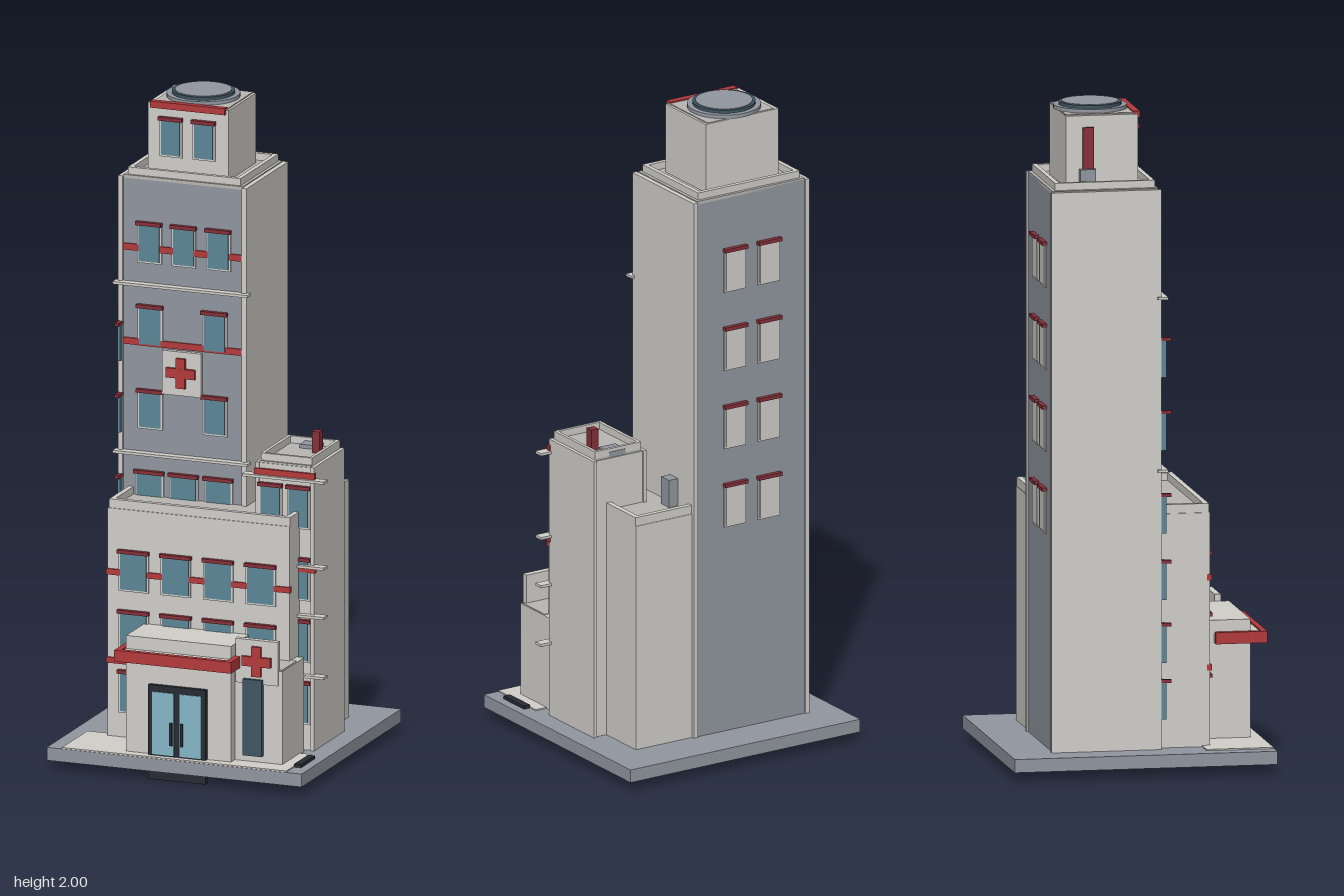
import * as THREE from 'three';

const mat = (color) => new THREE.MeshStandardMaterial({ color });
const M = {
  wall: mat(0xd2d0cb), roof: mat(0xbab8b3), grey: mat(0x9297a1), red: mat(0xb53a3c),
  darkRed: mat(0x86303a), glass: mat(0x5c8798), doorGlass: mat(0x86b8c8), slate: mat(0x3f5663), black: mat(0x272c33),
};

export function createModel() {
  const root = new THREE.Group();
  let part = root;
  const group = (name) => {
    part = new THREE.Group();
    part.name = name;
    root.add(part);
  };
  // Box given by its limits on each axis
  const box = (name, m, x0, x1, y0, y1, z0, z1) => {
    const mesh = new THREE.Mesh(new THREE.BoxGeometry(x1 - x0, y1 - y0, z1 - z0), m);
    mesh.position.set((x0 + x1) / 2, (y0 + y1) / 2, (z0 + z1) / 2);
    mesh.name = name;
    part.add(mesh);
    return mesh;
  };
  // Open rectangular rim around a roof
  const parapet = (x0, x1, y0, y1, z0, z1, t = 0.014) => {
    box('parapet', M.wall, x0, x1, y0, y1, z1 - t, z1);
    box('parapet', M.wall, x0, x1, y0, y1, z0, z0 + t);
    box('parapet', M.wall, x0, x0 + t, y0, y1, z0 + t, z1 - t);
    box('parapet', M.wall, x1 - t, x1, y0, y1, z0 + t, z1 - t);
  };
  // Framed pane with a lintel, on a wall at depth z; s is the outward direction
  const windowAt = (x, y0, y1, z, w, s = 1, pane = M.glass) => {
    const slab = (name, m, hw, a, b, d) =>
      box(name, m, x - hw, x + hw, a, b, Math.min(z - s * 0.005, z + s * d), Math.max(z - s * 0.005, z + s * d));
    slab('windowFrame', M.wall, w / 2 + 0.006, y0 - 0.006, y1, 0.004);
    slab('windowPane', pane, w / 2, y0, y1 - 0.004, 0.007);
    slab('windowLintel', M.darkRed, w / 2 + 0.008, y1 - 0.004, y1 + 0.007, 0.014);
  };
  const cross = (x, y, z, r) => {
    const t = r * 0.32;
    box('crossBar', M.red, x - r, x + r, y - t, y + t, z, z + 0.012);
    box('crossPost', M.red, x - t, x + t, y - r, y + r, z, z + 0.0115);
  };

  group('ground');
  box('basePlate', M.grey, -0.408, 0.408, 0.03, 0.07, -0.405, 0.39);
  box('pavement', M.wall, -0.36, 0.358, 0.065, 0.074, 0.185, 0.388);
  box('drainGrate', M.black, 0.358, 0.38, 0.066, 0.08, 0.215, 0.325);

  // Tall tower: grey front and back between pale side slabs
  group('tower');
  box('towerCore', M.grey, -0.3, 0.084, 0.07, 1.755, -0.27, 0.05);
  box('towerSideSlab', M.wall, -0.313, -0.299, 0.07, 1.757, -0.275, 0.058);
  box('towerSideSlab', M.wall, 0.083, 0.098, 0.07, 1.757, -0.275, 0.058);
  box('towerRoof', M.roof, -0.299, 0.083, 1.75, 1.76, -0.27, 0.05);
  parapet(-0.288, 0.073, 1.755, 1.782, -0.26, 0.042);
  for (const y of [0.91, 1.43]) box('towerLedge', M.wall, -0.324, 0.108, y - 0.004, y + 0.004, 0.045, 0.076);
  for (const x of [-0.215, -0.105, 0.006]) {
    windowAt(x, 1.5, 1.615, 0.05, 0.066);
    windowAt(x, 0.735, 0.85, 0.05, 0.08);
  }
  for (const x of [-0.212, -0.006]) {
    windowAt(x, 1.245, 1.36, 0.05, 0.068);
    windowAt(x, 0.99, 1.1, 0.05, 0.068);
  }
  for (const y of [1.54, 1.25]) box('towerBand', M.red, -0.298, 0.083, y - 0.01, y + 0.01, 0.045, 0.055);
  for (let i = 0; i < 4; i++)
    for (const x of [-0.17, -0.05]) windowAt(x, 0.72 + i * 0.247, 0.845 + i * 0.247, -0.27, 0.066, -1, M.wall);
  // Slim window fins at the front corner
  for (const y of [0.27, 0.44, 0.63, 0.83, 1.08, 1.3]) {
    box('cornerWindow', M.glass, -0.309, -0.301, y - 0.11, y, 0.02, 0.073);
    box('cornerLintel', M.darkRed, -0.312, -0.299, y, y + 0.01, 0.02, 0.088);
  }
  box('towerSign', M.wall, -0.17, -0.045, 1.1, 1.235, 0.045, 0.064);
  cross(-0.108, 1.17, 0.062, 0.046);

  // Rooftop room with round landing deck
  group('penthouse');
  box('penthouseWalls', M.wall, -0.241, 0.018, 1.755, 1.975, -0.218, 0);
  box('penthouseRoof', M.roof, -0.226, 0.01, 1.97, 1.978, -0.216, -0.002);
  box('penthouseBand', M.red, -0.23, 0.009, 1.962, 1.982, -0.012, 0.009);
  for (const x of [-0.166, -0.061]) windowAt(x, 1.82, 1.93, 0, 0.06);
  box('sideDoor', M.darkRed, -0.25, -0.238, 1.8, 1.94, -0.168, -0.134);
  box('sideUnit', M.grey, -0.26, -0.238, 1.76, 1.815, -0.178, -0.13);
  const disc = (name, m, r, y0, y1) => {
    const mesh = new THREE.Mesh(new THREE.CylinderGeometry(r, r, y1 - y0, 32), m);
    mesh.position.set(-0.111, (y0 + y1) / 2, -0.12);
    mesh.name = name;
    part.add(mesh);
  };
  disc('deckBase', M.grey, 0.11, 1.977, 1.989);
  disc('deckRing', M.slate, 0.094, 1.985, 1.998);
  disc('deckTop', M.grey, 0.085, 1.985, 2.0);

  // Wide lower block wrapping the tower's front and one side
  group('lowerBlock');
  box('frontWing', M.wall, -0.286, 0.297, 0.07, 0.775, 0.03, 0.21);
  box('rearWing', M.wall, 0.0, 0.297, 0.07, 0.775, -0.265, 0.03);
  box('frontRoof', M.roof, -0.28, 0.29, 0.77, 0.779, 0.03, 0.206);
  box('rearRoof', M.roof, 0.09, 0.29, 0.77, 0.779, -0.26, 0.03);
  const rim = (x0, x1, z0, z1) => box('parapet', M.wall, x0, x1, 0.772, 0.802, z0, z1);
  rim(-0.282, 0.297, 0.191, 0.207);
  rim(-0.282, -0.266, 0.05, 0.191);
  rim(0.281, 0.297, -0.263, 0.191);
  rim(0.09, 0.281, -0.263, -0.247);
  box('roofVent', M.grey, 0.095, 0.13, 0.775, 0.865, -0.19, -0.147);
  for (const x of [-0.201, -0.066, 0.07, 0.206]) {
    windowAt(x, 0.53, 0.645, 0.21, 0.084);
    windowAt(x, 0.345, 0.46, 0.21, 0.084);
  }
  windowAt(-0.201, 0.155, 0.275, 0.21, 0.084);
  for (const y of [0.58, 0.308]) box('lowerBand', M.red, -0.288, 0.3, y - 0.009, y + 0.009, 0.2, 0.215);

  // Narrow side tower
  group('sideTower');
  box('sideTowerCore', M.wall, 0.16, 0.34, 0.07, 0.94, -0.105, 0.13);
  for (const x of [0.157, 0.333]) box('sideTowerSlab', M.wall, x, x + 0.012, 0.07, 0.942, -0.11, 0.134);
  box('sideTowerRoof', M.roof, 0.17, 0.333, 0.936, 0.946, -0.1, 0.128);
  parapet(0.17, 0.334, 0.94, 0.968, -0.1, 0.122, 0.01);
  box('sideTowerBand', M.red, 0.155, 0.348, 0.905, 0.924, 0.125, 0.139);
  box('sideTowerBand', M.red, 0.155, 0.35, 0.618, 0.634, 0.125, 0.139);
  for (const y of [0.902, 0.637, 0.485, 0.3]) box('sideTowerLedge', M.wall, 0.12, 0.382, y - 0.004, y + 0.004, 0.12, 0.15);
  for (const x of [0.205, 0.295])
    for (const y of [0.155, 0.345, 0.535, 0.755]) windowAt(x, y, y + 0.12, 0.13, 0.062);
  box('roofUnit', M.grey, 0.227, 0.285, 0.94, 0.958, -0.102, -0.046);
  box('chimney', M.darkRed, 0.28, 0.305, 0.94, 1.012, -0.036, -0.01);

  // Entrance hall, canopy and double door
  group('entrance');
  box('entranceHall', M.wall, -0.168, 0.168, 0.07, 0.43, 0.2, 0.355);
  box('canopySlab', M.wall, -0.17, 0.17, 0.362, 0.39, 0.245, 0.39);
  box('canopyFront', M.red, -0.187, 0.187, 0.36, 0.395, 0.386, 0.403);
  for (const x of [-0.187, 0.169]) box('canopySide', M.red, x, x + 0.018, 0.36, 0.395, 0.247, 0.386);
  box('doorFrame', M.black, -0.092, 0.092, 0.0, 0.29, 0.35, 0.368);
  for (const s of [-1, 1]) {
    box('doorPane', M.doorGlass, s * 0.044 - 0.034, s * 0.044 + 0.034, 0.078, 0.27, 0.36, 0.371);
    box('doorHandle', M.black, s * 0.017 - 0.004, s * 0.017 + 0.004, 0.11, 0.18, 0.365, 0.378);
  }

  // Annex with the cross sign
  group('annex');
  box('annexWalls', M.wall, 0.1, 0.32, 0.07, 0.36, 0.15, 0.325);
  box('annexRoof', M.roof, 0.168, 0.316, 0.355, 0.362, 0.2, 0.321);
  box('signPanel', M.wall, 0.172, 0.308, 0.315, 0.45, 0.312, 0.331);
  cross(0.241, 0.385, 0.329, 0.046);
  box('annexWindow', M.slate, 0.2, 0.26, 0.095, 0.33, 0.32, 0.342);
  return root;
}
